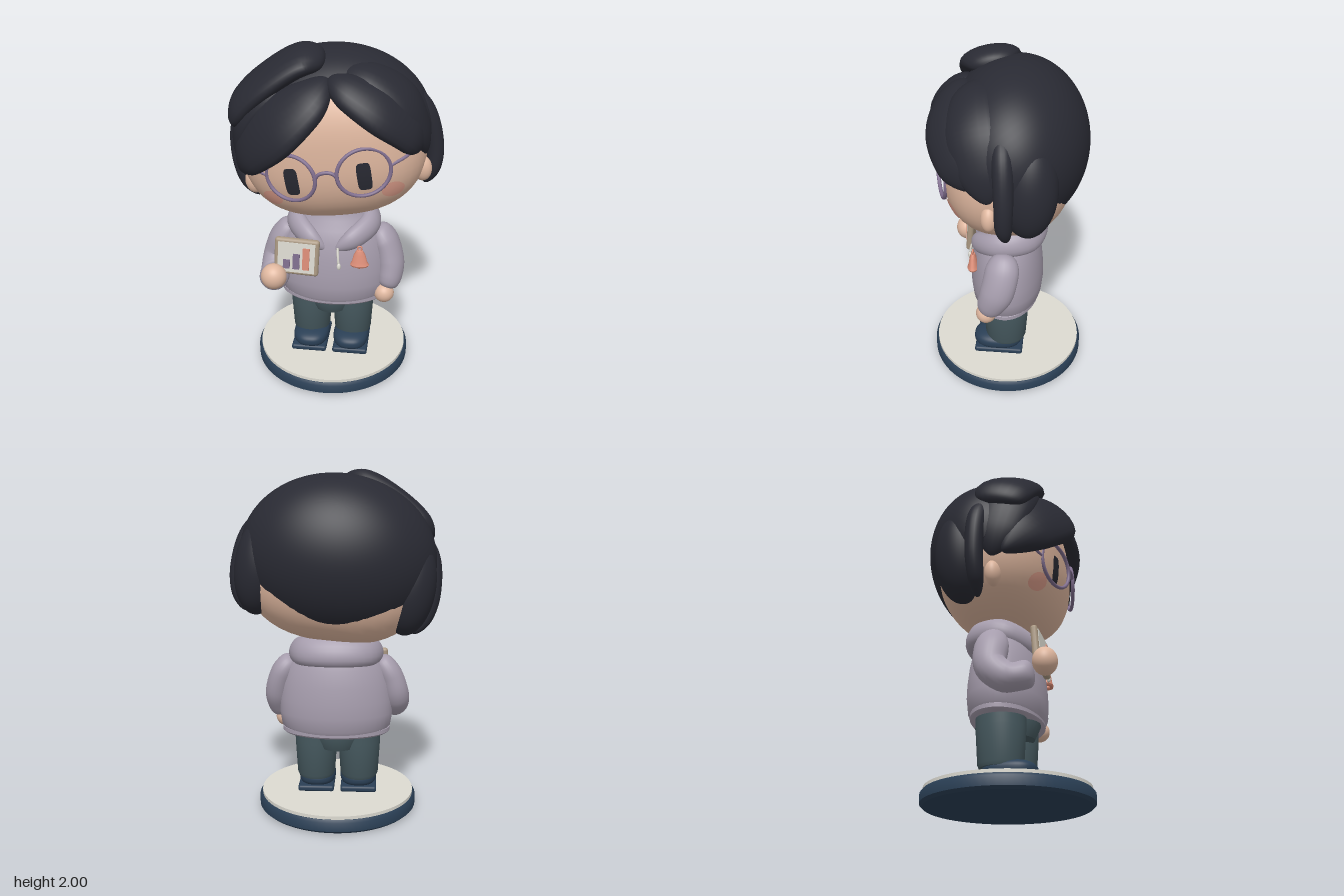
import * as THREE from 'three';
import { toCreasedNormals } from 'three/addons/utils/BufferGeometryUtils.js';
import { RoundedBoxGeometry } from 'three/addons/geometries/RoundedBoxGeometry.js';

const colours = {
  hair: 0x292a33, skin: 0xdfb79f, blush: 0xe0a08d, purple: 0x806e8e, hoodie: 0xa69dad,
  trousers: 0x46595f, navy: 0x2a3f55, cream: 0xdcdad1, tan: 0xab9983, coral: 0xdc8d77,
};
const V = (x, y, z) => new THREE.Vector3(x, y, z);

// Ellipsoid; p above 2 makes it boxier.
function blob(rx, ry, rz, p = 2) {
  const g = new THREE.SphereGeometry(1, 48, 32);
  const a = g.attributes.position, normal = g.attributes.normal;
  const grad = (u, r) => Math.sign(u) * Math.abs(u) ** (p - 1) / r;
  for (let i = 0; i < a.count; i++) {
    const v = V().fromBufferAttribute(a, i);
    v.divideScalar([v.x, v.y, v.z].reduce((s, c) => s + Math.abs(c) ** p, 0) ** (1 / p));
    const n = V(grad(v.x, rx), grad(v.y, ry), grad(v.z, rz)).normalize();
    a.setXYZ(i, v.x * rx, v.y * ry, v.z * rz);
    normal.setXYZ(i, n.x, n.y, n.z);
  }
  return g;
}

// Rounded, tapering sweep. Stations are [x, y, z, halfWidth, halfThickness];
// the thickness points away from the centre c.
function sweep(stations, c, rings = 40, sides = 20, ends = 6) {
  const path = new THREE.CatmullRomCurve3(stations.map(s => V(s[0], s[1], s[2])));
  const size = new THREE.CatmullRomCurve3(stations.map(s => V(s[3], s[4], 0)));
  const pos = [], idx = [];
  for (let i = 0; i <= rings; i++) {
    const t = 0.5 - 0.5 * Math.cos(Math.PI * i / rings);
    const P = path.getPoint(t), T = path.getTangent(t), S = size.getPoint(t);
    const N = P.clone().sub(c);
    N.addScaledVector(T, -N.dot(T)).normalize();
    const B = T.clone().cross(N);
    const e = Math.sqrt(Math.max(0, 1 - Math.abs(2 * t - 1) ** ends)) + 1e-4;
    for (let j = 0; j < sides; j++) {
      const a = j / sides * Math.PI * 2;
      const q = P.clone().addScaledVector(B, Math.cos(a) * S.x * e).addScaledVector(N, Math.sin(a) * S.y * e);
      pos.push(q.x, q.y, q.z);
      if (i < rings) {
        const k = i * sides + j, l = i * sides + (j + 1) % sides;
        idx.push(k, k + sides, l, l, k + sides, l + sides);
      }
    }
  }
  const g = new THREE.BufferGeometry();
  g.setAttribute('position', new THREE.Float32BufferAttribute(pos, 3));
  g.setIndex(idx);
  g.computeVertexNormals();
  return g;
}

const lathe = (pts, seg = 48) => toCreasedNormals(
  new THREE.LatheGeometry(pts.map(p => new THREE.Vector2(p[0], p[1])), seg), 0.7);
const tube = (pts, r) => new THREE.TubeGeometry(new THREE.CatmullRomCurve3(pts.map(p => V(...p))), 24, r, 10);

// Face surface, used to lay the eyes and cheeks on the head.
const HEAD = { rx: 0.53, ry: 0.44, rz: 0.37, y: 0.05, z: -0.015, p: 2.5 };
function faceZ(x, y) {
  const k = 1 - Math.abs(x / HEAD.rx) ** HEAD.p - Math.abs((y - HEAD.y) / HEAD.ry) ** HEAD.p;
  return HEAD.z + HEAD.rz * Math.max(0, k) ** (1 / HEAD.p);
}
function decal(cx, cy, rx, ry, p) {
  const g = new THREE.RingGeometry(0.001, 1, 40, 5);
  const a = g.attributes.position;
  for (let i = 0; i < a.count; i++) {
    const u = a.getX(i), v = a.getY(i), r = Math.hypot(u, v);
    const n = r / (Math.abs(u) ** p + Math.abs(v) ** p) ** (1 / p);
    const x = cx + u * n * rx, y = cy + v * n * ry;
    a.setXYZ(i, x, y, faceZ(x, y) + 0.006);
  }
  g.computeVertexNormals();
  return g;
}

export function createModel() {
  const model = new THREE.Group();
  model.name = 'figurine';
  const mat = {};
  for (const k in colours) {
    mat[k] = new THREE.MeshStandardMaterial({ color: colours[k] });
    mat[k].name = k;
  }
  const add = (parent, name, geo, colour, x = 0, y = 0, z = 0) => {
    const m = new THREE.Mesh(geo, mat[colour]);
    m.name = name;
    m.position.set(x, y, z);
    parent.add(m);
    return m;
  };
  const group = (name, x = 0, y = 0, z = 0) => {
    const g = new THREE.Group();
    g.name = name;
    g.position.set(x, y, z);
    model.add(g);
    return g;
  };

  // Display base
  add(model, 'base', lathe([[0, 0], [0.455, 0], [0.472, 0.015], [0.472, 0.065], [0.46, 0.08], [0, 0.08]], 72), 'navy', -0.008);
  add(model, 'baseTop', new THREE.CylinderGeometry(0.456, 0.456, 0.022, 72), 'cream', -0.008, 0.088);

  // Shoes and legs
  for (const s of [1, -1]) {
    add(model, 'sole', new RoundedBoxGeometry(0.215, 0.036, 0.3, 3, 0.014), 'navy', s * 0.127 - 0.01, 0.116, 0.04);
    add(model, 'shoe', blob(0.11, 0.056, 0.15, 2.5), 'navy', s * 0.125 - 0.01, 0.163, 0.05);
    add(model, 'leg', lathe([[0, 0.18], [0.106, 0.18], [0.114, 0.2], [0.126, 0.4], [0.128, 0.5], [0, 0.5]]), 'trousers', s * 0.13 - 0.01).scale.z = 1.1;
  }
  add(model, 'pelvis', lathe([[0, 0.37], [0.125, 0.37], [0.152, 0.44], [0.152, 0.5], [0, 0.5]]), 'trousers', -0.01).scale.z = 1.22;

  // Hoodie
  add(model, 'torso', lathe([[0, 0.47], [0.3, 0.47], [0.325, 0.5], [0.338, 0.58], [0.335, 0.66], [0.32, 0.76],
    [0.29, 0.86], [0.25, 0.93], [0.2, 0.98], [0.18, 1.02], [0, 1.03]]), 'hoodie').scale.z = 0.65;
  add(model, 'hem', lathe([[0, 0.455], [0.31, 0.455], [0.322, 0.465], [0.322, 0.488], [0.31, 0.495], [0, 0.495]]), 'hoodie').scale.z = 0.62;
  add(model, 'neck', new THREE.CylinderGeometry(0.13, 0.13, 0.12, 32), 'skin', 0, 1.03, -0.02);
  const half = [[0.03, 0.83, 0.185, 0.035, 0.03], [0.13, 0.89, 0.15, 0.065, 0.05], [0.22, 0.945, 0.03, 0.075, 0.055],
    [0.17, 0.965, -0.12, 0.09, 0.06]];
  const hood = [...half, [0, 0.975, -0.165, 0.1, 0.06], ...half.slice().reverse().map(([x, ...r]) => [-x, ...r])];
  add(model, 'hood', sweep(hood, V(0, 0.86, 0), 64, 20, 12), 'hoodie');
  add(model, 'drawstring', tube([[0.045, 0.85, 0.2], [0.05, 0.79, 0.22], [0.055, 0.74, 0.225]], 0.007), 'cream');
  add(model, 'drawstringEnd', blob(0.012, 0.022, 0.012), 'cream', 0.055, 0.74, 0.225);

  // Arms and hands
  const c = V(0, 0.7, -0.05);
  add(model, 'leftArm', sweep([[0.25, 0.91, 0, 0.07, 0.06], [0.31, 0.82, 0.005, 0.1, 0.075], [0.345, 0.7, 0.03, 0.1, 0.08],
    [0.345, 0.61, 0.065, 0.085, 0.073], [0.325, 0.54, 0.09, 0.065, 0.06]], c, 40, 24, 10), 'hoodie');
  add(model, 'leftHand', blob(0.06, 0.06, 0.06), 'skin', 0.315, 0.51, 0.1);
  add(model, 'rightArm', sweep([[-0.25, 0.91, 0, 0.07, 0.06], [-0.32, 0.8, 0, 0.095, 0.075], [-0.355, 0.68, 0.01, 0.09, 0.08],
    [-0.35, 0.61, 0.1, 0.085, 0.085], [-0.325, 0.63, 0.24, 0.085, 0.085]], c, 40, 24, 14), 'hoodie');
  add(model, 'rightHand', blob(0.075, 0.077, 0.068), 'skin', -0.315, 0.69, 0.295);

  // Chart board
  const board = group('chartBoard', -0.187, 0.8, 0.24);
  board.rotation.set(-0.08, 0, -0.05);
  add(board, 'boardFrame', new RoundedBoxGeometry(0.26, 0.225, 0.04, 3, 0.018), 'tan');
  add(board, 'boardPaper', new THREE.BoxGeometry(0.215, 0.185, 0.008), 'cream', 0, 0, 0.019);
  [['purple', 0.055], ['purple', 0.095], ['coral', 0.135]].forEach(([col, h], i) =>
    add(board, 'chartBar', new THREE.BoxGeometry(0.04, h, 0.009), col, -0.055 + i * 0.056, -0.07 + h / 2, 0.025));

  // Bell badge
  const bell = group('bell', 0.172, 0.72, 0.19);
  add(bell, 'bellBody', lathe([[0, 0.02], [0.05, 0.015], [0.056, 0.025], [0.045, 0.045], [0.033, 0.09], [0.02, 0.115], [0, 0.122]], 32), 'coral').scale.z = 0.6;
  add(bell, 'bellClapper', blob(0.016, 0.016, 0.014), 'coral', 0, 0.012);
  add(bell, 'bellLoop', new THREE.TorusGeometry(0.012, 0.005, 8, 20), 'coral', 0, 0.13);

  // Head, tilted to one side
  const head = group('head', 0, 1.4, 0);
  head.rotation.z = 0.135;
  add(head, 'face', blob(HEAD.rx, HEAD.ry, HEAD.rz, HEAD.p), 'skin', 0, HEAD.y, HEAD.z);
  for (const s of [1, -1]) {
    add(head, 'ear', blob(0.055, 0.075, 0.045), 'skin', s * 0.485, -0.155, 0.05);
    add(head, 'eye', decal(s * 0.196, -0.065, 0.038, 0.08, 5), 'hair');
    add(head, 'cheek', decal(s * 0.333, -0.178, 0.06, 0.05, 2), 'blush');
    const rim = add(head, 'glassesRim', new THREE.TorusGeometry(0.146, 0.011, 12, 56), 'purple', s * 0.197, -0.04, 0.342);
    rim.scale.y = 0.89;
    rim.rotation.y = s * 0.32;
    add(head, 'glassesTemple', tube([[s * 0.335, -0.03, 0.296], [s * 0.42, 0, 0.255], [s * 0.48, 0.02, 0.15], [s * 0.5, 0.02, 0.05]], 0.009), 'purple');
  }
  add(head, 'glassesBridge', tube([[-0.06, -0.04, 0.385], [-0.035, -0.015, 0.387], [0, -0.008, 0.387], [0.035, -0.015, 0.387], [0.06, -0.04, 0.385]], 0.01), 'purple');

  // Hair cap: sphere cut on a slope from forehead to nape
  const cut = 1.79, profile = [new THREE.Vector2(0, Math.cos(cut))];
  for (let i = 32; i >= 0; i--) profile.push(new THREE.Vector2(Math.sin(cut * i / 32), Math.cos(cut * i / 32)));
  const cap = new THREE.LatheGeometry(profile, 64);
  cap.rotateX(-0.88).scale(0.565, 0.47, 0.41);
  add(head, 'hairCap', toCreasedNormals(cap, 0.7), 'hair', 0, 0.1, -0.045);

  // Side hair: puff behind the ear, hanging lock, and the temple section behind the fringe
  for (const s of [1, -1]) {
    add(head, 'sidePuff', blob(0.145, 0.275, 0.155), 'hair', s * 0.425, -0.005, -0.145);
    add(head, 'sideLock', sweep([[s * 0.42, 0.33, 0, 0.05, 0.04], [s * 0.53, 0.17, -0.02, 0.055, 0.05],
      [s * 0.565, -0.04, -0.03, 0.05, 0.05], [s * 0.545, -0.18, -0.03, 0.045, 0.045], [s * 0.485, -0.28, -0.04, 0.03, 0.035]], V(0, 0, -0.04)), 'hair');
    add(head, 'templeHair', sweep([[s * 0.1, 0.46, 0.12, 0.08, 0.05], [s * 0.28, 0.39, 0.15, 0.14, 0.075], [s * 0.42, 0.27, 0.13, 0.16, 0.075],
      [s * 0.49, 0.1, 0.09, 0.14, 0.06], [s * 0.505, -0.07, 0.05, 0.07, 0.045]], V(0, 0, 0)), 'hair');
  }

  // Fringe
  const fringe = group('fringe'), hc = V(0, 1.42, 0);
  add(fringe, 'rightFringe', sweep([[-0.005, 1.85, 0.22, 0.07, 0.05], [-0.12, 1.735, 0.305, 0.15, 0.07], [-0.275, 1.605, 0.315, 0.19, 0.075],
    [-0.42, 1.46, 0.245, 0.165, 0.07], [-0.51, 1.28, 0.12, 0.06, 0.05]], hc), 'hair');
  add(fringe, 'leftFringe', sweep([[0, 1.85, 0.22, 0.07, 0.05], [0.13, 1.79, 0.275, 0.12, 0.065], [0.29, 1.7, 0.275, 0.15, 0.07],
    [0.42, 1.595, 0.2, 0.15, 0.065], [0.49, 1.47, 0.09, 0.09, 0.05]], hc), 'hair');
  add(fringe, 'topSweep', sweep([[-0.03, 1.915, 0.1, 0.1, 0.05], [-0.15, 1.92, 0.11, 0.165, 0.07], [-0.34, 1.81, 0.125, 0.18, 0.07],
    [-0.48, 1.68, 0.115, 0.17, 0.07], [-0.54, 1.57, 0.09, 0.13, 0.05]], hc, 40, 20, 12), 'hair');
  return model;
}
